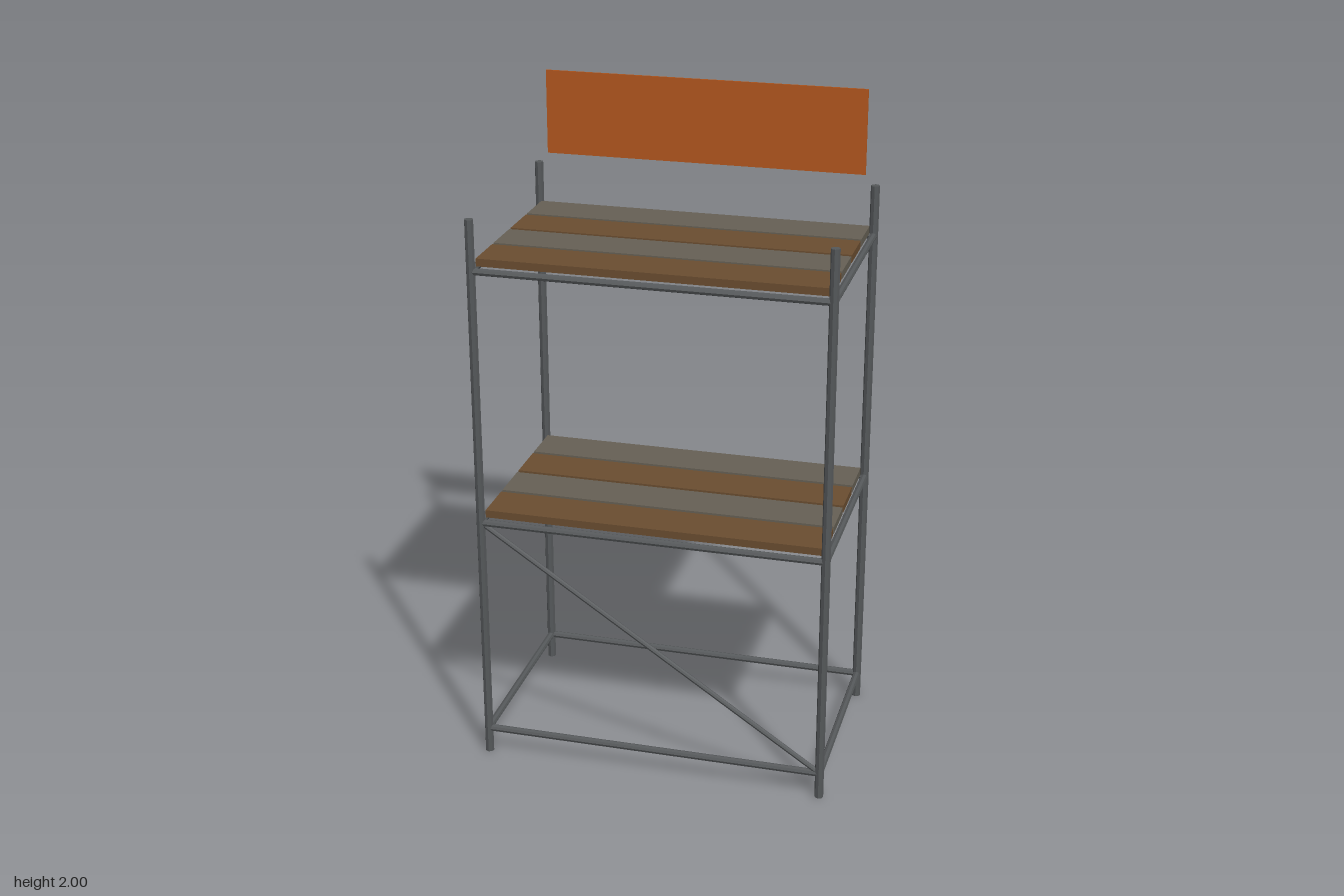
import * as THREE from 'three';

const X = 0.52, Z = 0.312; // post centres

export function createModel() {
  const group = new THREE.Group();
  const mat = (color, extra = {}) => new THREE.MeshStandardMaterial({ color, ...extra });
  const steel = mat(0x55585a, { flatShading: true });
  const brownWood = mat(0x6b4e30);
  const greyWood = mat(0x666055);
  const orange = mat(0xb5581e);

  // Round bar between two points
  function bar(name, a, b, radius) {
    const from = new THREE.Vector3(...a), to = new THREE.Vector3(...b);
    const dir = to.clone().sub(from);
    const mesh = new THREE.Mesh(new THREE.CylinderGeometry(radius, radius, dir.length(), 8), steel);
    mesh.position.copy(from).add(to).multiplyScalar(0.5);
    mesh.quaternion.setFromUnitVectors(new THREE.Vector3(0, 1, 0), dir.normalize());
    mesh.name = name;
    group.add(mesh);
  }

  function box(name, size, pos, material) {
    const mesh = new THREE.Mesh(new THREE.BoxGeometry(...size), material);
    mesh.position.set(...pos);
    mesh.name = name;
    group.add(mesh);
  }

  // Corner posts
  for (const sx of [-1, 1]) for (const sz of [-1, 1])
    bar('post', [sx * X, 0, sz * Z], [sx * X, 1.715, sz * Z], 0.0135);

  // Rails around the frame at three heights
  for (const y of [0.08, 0.78, 1.562]) {
    for (const s of [-1, 1]) {
      bar('longRail', [-X, y, s * Z], [X, y, s * Z], 0.0108);
      bar('sideRail', [s * X, y, -Z], [s * X, y, Z], 0.0108);
    }
  }

  // Plank shelves in alternating wood tones
  for (const y of [0.802, 1.584])
    for (let i = 0; i < 4; i++)
      box('plank', [1.02, 0.023, 0.138], [0, y, -0.2265 + i * 0.151], i % 2 ? brownWood : greyWood);

  // Diagonal brace across the front
  bar('brace', [-X, 0.78, Z], [X, 0.08, Z], 0.008);

  // Thin sign board above the back
  box('signBoard', [0.98, 0.255, 0.005], [0, 1.8725, -Z], orange);

  return group;
}
